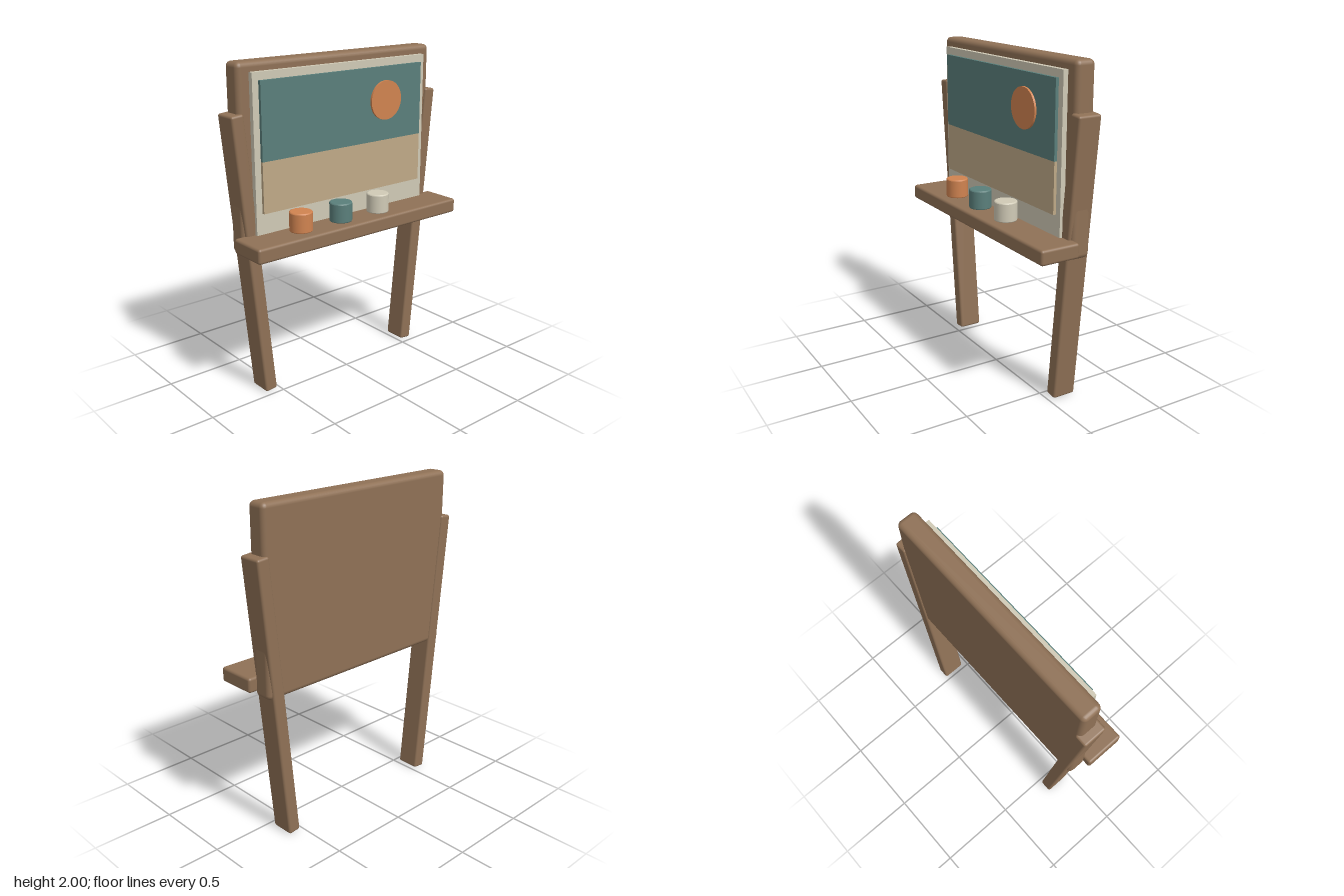
import * as THREE from 'three';
import { RoundedBoxGeometry } from 'three/addons/geometries/RoundedBoxGeometry.js';

const mat = (color) => new THREE.MeshStandardMaterial({ color });

export function createModel() {
  const model = new THREE.Group();
  const wood = mat(0x8f7156), cream = mat(0xd0cab6), teal = mat(0x5a7f7b);
  const sand = mat(0xbfa987), orange = mat(0xd08350);

  const add = (name, geometry, material, x, y, z) => {
    const mesh = new THREE.Mesh(geometry, material);
    mesh.name = name;
    mesh.position.set(x, y, z);
    model.add(mesh);
    return mesh;
  };
  const rounded = (w, h, d, r) => new RoundedBoxGeometry(w, h, d, 3, r);

  // Backing board and splayed legs
  add('board', rounded(1.43, 1.095, 0.125, 0.03), wood, 0, 1.4525, -0.11);
  for (const side of [-1, 1]) {
    const leg = add(side > 0 ? 'leftLeg' : 'rightLeg',
      rounded(0.08, 1.723, 0.147, 0.014), wood, side * 0.643, 0.863, -0.108);
    leg.rotation.z = -side * 0.097;
  }

  // Shelf across the front
  add('tray', rounded(1.53, 0.09, 0.25, 0.016), wood, 0, 0.98, 0.06);

  // Sheet with the painted landscape
  add('paper', new THREE.BoxGeometry(1.28, 0.985, 0.03), cream, 0, 1.4525, -0.032);
  add('paintedSky', new THREE.BoxGeometry(1.2, 0.45, 0.02), teal, 0, 1.675, -0.008);
  add('paintedGround', new THREE.BoxGeometry(1.2, 0.3, 0.019), sand, 0, 1.3, -0.009);
  const sun = add('paintedSun', new THREE.CylinderGeometry(0.12, 0.12, 0.014, 40), orange, 0.305, 1.697, 0.008);
  sun.rotation.x = Math.PI / 2;

  // Paint pots with softened rims
  const r = 0.069, h = 0.12, b = 0.007;
  const profile = [[0, 0], [r - b, 0], [r - b, 0], [r - b * 0.3, b * 0.3], [r, b], [r, b],
    [r, h - b], [r, h - b], [r - b * 0.3, h - b * 0.3], [r - b, h], [r - b, h], [0, h]]
    .map(([x, y]) => new THREE.Vector2(x, y));
  const pot = new THREE.LatheGeometry(profile, 24);
  [[-0.387, orange], [-0.092, teal], [0.202, cream]].forEach(([x, material], i) =>
    add(`paintPot${i + 1}`, pot, material, x, 1.022, 0.058));

  return model;
}
